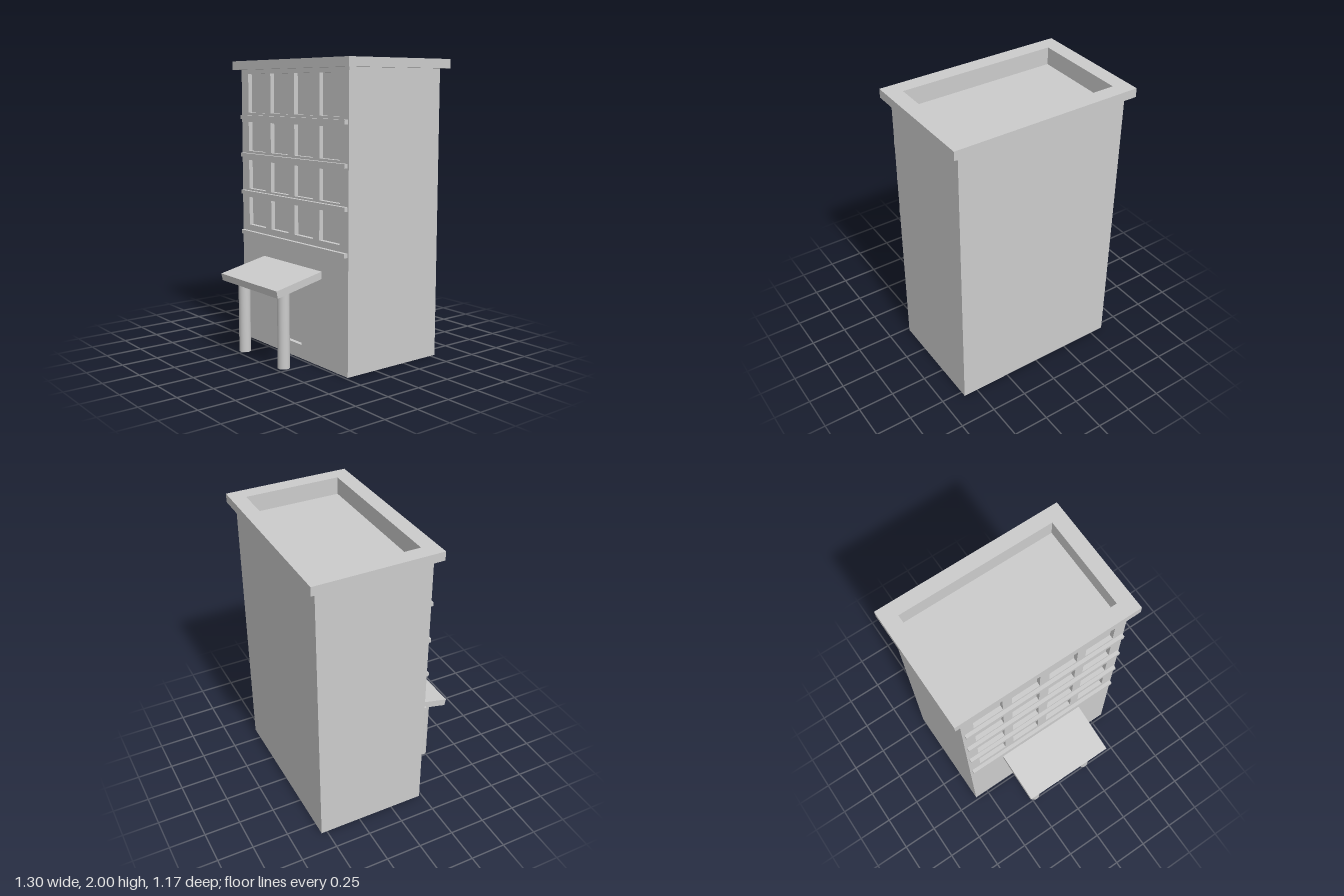
import * as THREE from 'three';

const material = new THREE.MeshStandardMaterial({ color: 0xcccccc });

function add(parent, name, geometry, x = 0, y = 0, z = 0) {
  const mesh = new THREE.Mesh(geometry, material);
  mesh.name = name;
  mesh.position.set(x, y, z);
  parent.add(mesh);
  return mesh;
}

// Box given by its limits on each axis
function block(parent, name, [x0, x1], [y0, y1], [z0, z1]) {
  return add(parent, name, new THREE.BoxGeometry(x1 - x0, y1 - y0, z1 - z0),
    (x0 + x1) / 2, (y0 + y1) / 2, (z0 + z1) / 2);
}

function rectangle(PathType, [x0, x1], [y0, y1]) {
  return new PathType([[x0, y0], [x1, y0], [x1, y1], [x0, y1]].map(p => new THREE.Vector2(...p)));
}

function extrude(shape, depth) {
  return new THREE.ExtrudeGeometry(shape, { depth, bevelEnabled: false });
}

// Flat rectangular frame lying in the xz plane, open over the roof well
function roofFrame(xs, [z0, z1], height) {
  const shape = rectangle(THREE.Shape, xs, [-z1, -z0]);
  shape.holes.push(rectangle(THREE.Path, [-0.545, 0.545], [-0.17, 0.485]));
  return extrude(shape, height).rotateX(-Math.PI / 2);
}

export function createModel() {
  const model = new THREE.Group();
  model.name = 'building';

  const front = 0.23, back = -0.54, recess = 0.03;
  const roofFloor = 1.88, wallTop = 1.94;

  // Main volume; its top is the sunken roof floor
  block(model, 'body', [-0.6, 0.6], [0, roofFloor], [back, front - recess]);

  // Front wall with window and door openings
  const wall = rectangle(THREE.Shape, [-0.6, 0.6], [0, wallTop]);
  const columns = [[-0.515, -0.305], [-0.24, -0.035], [0.035, 0.24], [0.305, 0.515]];
  const rows = [[0.84, 1.04], [1.10, 1.305], [1.37, 1.575], [1.64, 1.91]];
  for (const row of rows) {
    for (const column of columns) wall.holes.push(rectangle(THREE.Path, column, row));
  }
  wall.holes.push(rectangle(THREE.Path, [-0.115, 0.11], [0.095, 0.425]));
  add(model, 'frontWall', extrude(wall, recess), 0, 0, front - recess);

  // Parapet and overhanging cornice around the roof well
  add(model, 'parapet', roofFrame([-0.6, 0.6], [back, front - recess], wallTop - roofFloor), 0, roofFloor);
  add(model, 'cornice', roofFrame([-0.65, 0.65], [-0.585, 0.275], 2 - wallTop), 0, wallTop);

  // Ledges below each row of windows
  for (const y of [0.783, 1.073, 1.34, 1.609]) {
    block(model, 'ledge', [-0.585, 0.59], [y - 0.014, y + 0.014], [front - 0.01, 0.255]);
  }

  // Sloping entrance canopy, drawn in side profile and ending inside the wall
  const profile = new THREE.Shape([[0.21, 0.594], [0.575, 0.511], [0.585, 0.559], [0.21, 0.643]]
    .map(p => new THREE.Vector2(...p)));
  add(model, 'canopy', extrude(profile, 0.66).rotateY(-Math.PI / 2), 0.33);

  // Canopy posts
  for (const x of [-0.22, 0.24]) {
    add(model, 'post', new THREE.CylinderGeometry(0.04, 0.04, 0.53, 32), x, 0.285, 0.47);
  }

  return model;
}
